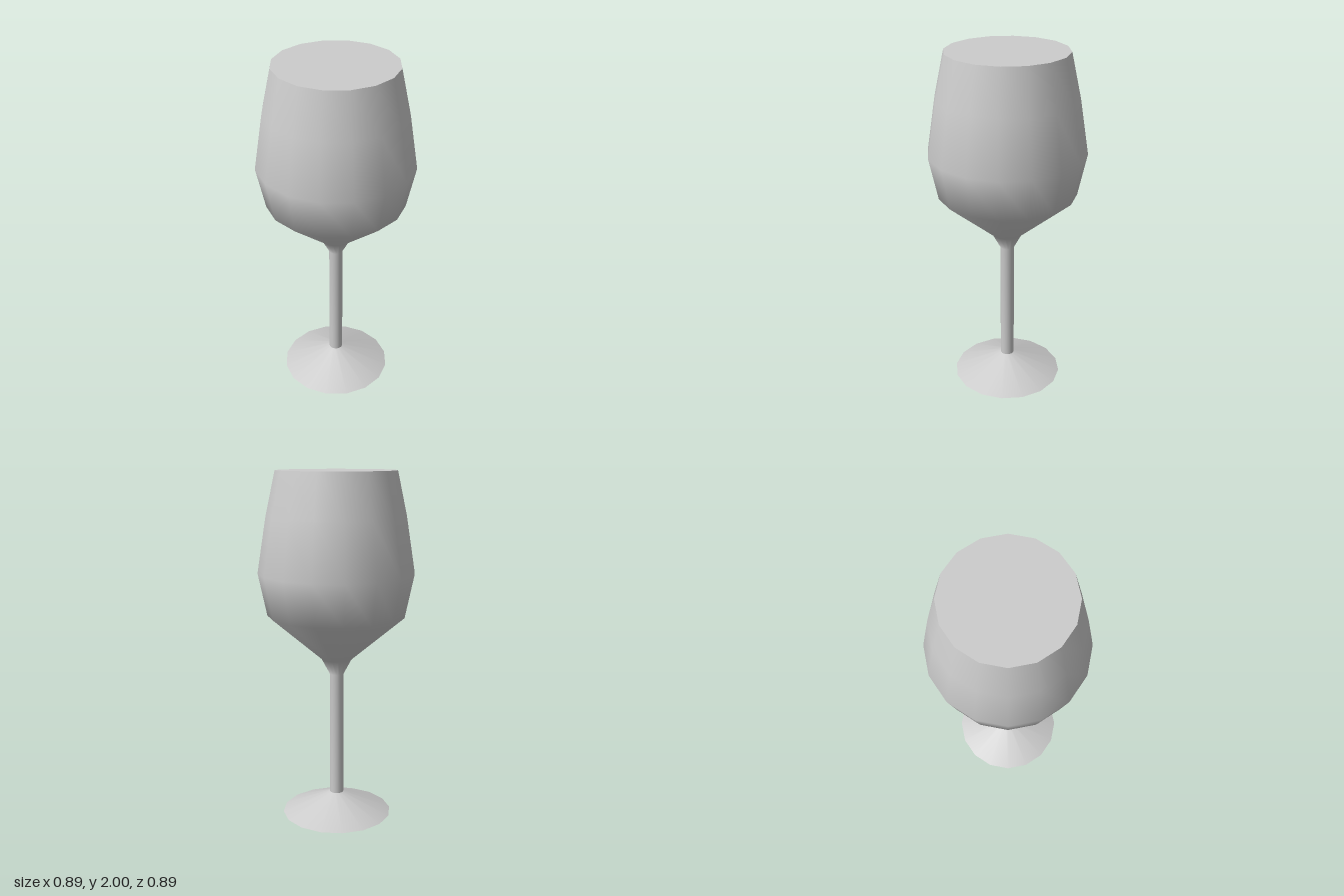
import * as THREE from 'three';

const SIDES = 16;

export function createModel() {
  const group = new THREE.Group();
  group.name = 'wineGlass';
  const material = new THREE.MeshStandardMaterial({ color: 0xcccccc });

  const add = (name, geometry) => {
    const mesh = new THREE.Mesh(geometry, material);
    mesh.name = name;
    group.add(mesh);
    return mesh;
  };
  // Profile points run upwards as [radius, height]
  const turned = (name, profile) =>
    add(name, new THREE.LatheGeometry(profile.map(([r, y]) => new THREE.Vector2(r, y)), SIDES));
  const disc = (name, radius, y, facing) => {
    const mesh = add(name, new THREE.CircleGeometry(radius, SIDES));
    mesh.rotation.x = -facing * Math.PI / 2;
    mesh.position.y = y;
  };

  // Conical foot with a flat underside
  turned('foot', [[0.32, 0], [0.04, 0.12]]);
  disc('footUnderside', 0.32, 0, -1);

  // Stem flaring smoothly into the bowl
  turned('stemAndBowl', [
    [0.04, 0.12], [0.04, 0.85], [0.088, 0.94], [0.393, 1.2],
    [0.443, 1.44], [0.393, 1.75], [0.338, 2],
  ]);

  // Flat surface closing the bowl at the rim
  disc('bowlTop', 0.338, 2, 1);

  return group;
}
